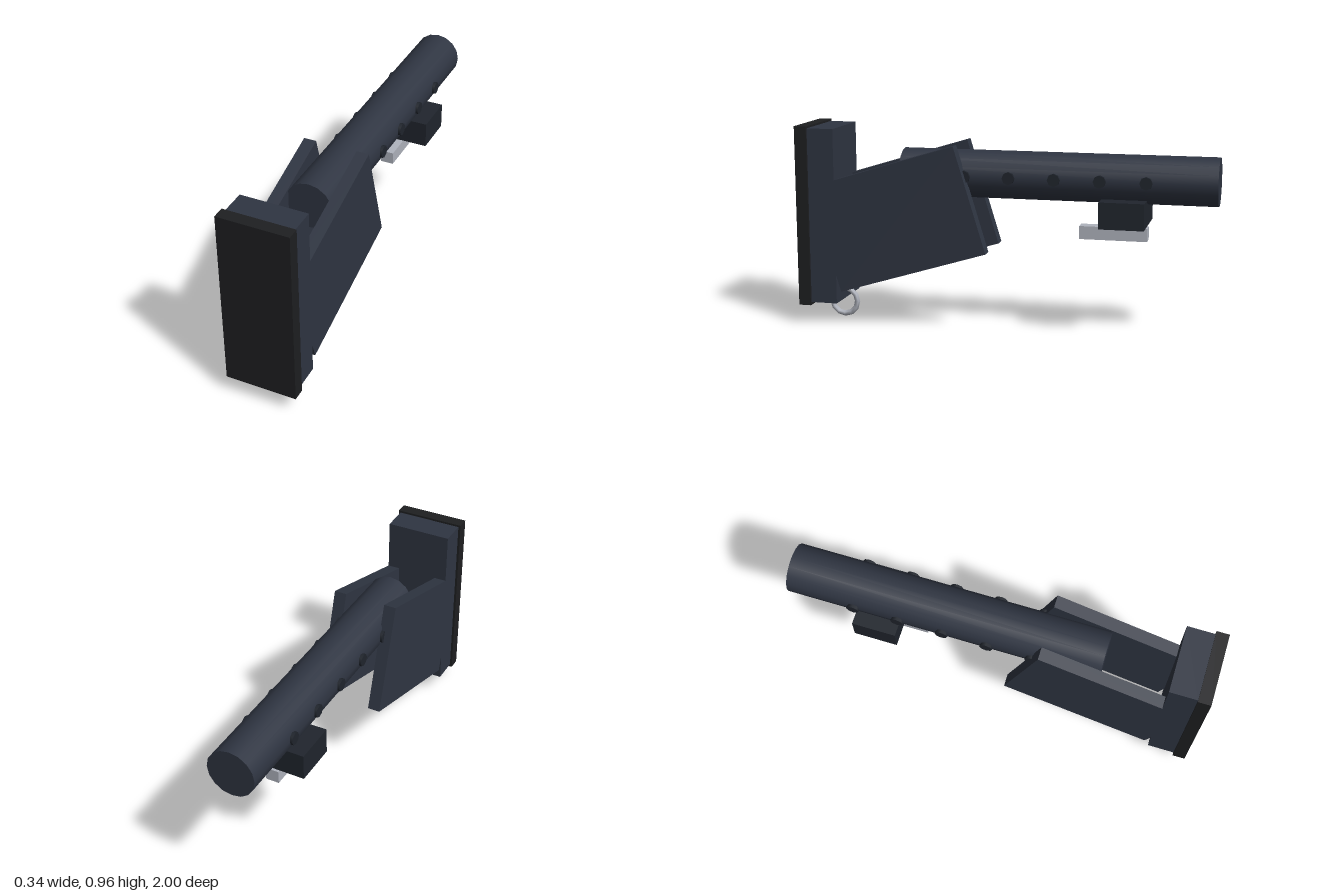
import * as THREE from 'three';

const mat = (color) => new THREE.MeshStandardMaterial({ color });

export function createModel() {
  const model = new THREE.Group();
  model.name = 'padBracket';

  const steel = mat(0x2f3542);
  const rubber = mat(0x1e1f21);
  const darkSteel = mat(0x20252d);
  const chrome = mat(0xb0b4be);

  const add = (name, geometry, material, x, y, z) => {
    const mesh = new THREE.Mesh(geometry, material);
    mesh.name = name;
    mesh.position.set(x, y, z);
    model.add(mesh);
    return mesh;
  };
  const box = (name, material, w, h, d, x, y, z) =>
    add(name, new THREE.BoxGeometry(w, h, d), material, x, y, z);

  // Front pad and the block behind it
  box('pad', rubber, 0.342, 0.874, 0.06, 0, 0.528, 0.97);
  box('backingBlock', steel, 0.32, 0.85, 0.13, 0, 0.53, 0.875);

  // Tilted plates either side of the tube
  for (const side of [-1, 1]) {
    const plate = box(side > 0 ? 'leftPlate' : 'rightPlate', steel,
      0.06, 0.528, 0.753, side * 0.13, 0.528, 0.503);
    plate.rotation.x = 0.297;
  }

  // Main tube
  const tubeY = 0.743;
  const tube = add('tube', new THREE.CylinderGeometry(0.115, 0.115, 1.5, 16), steel, 0, tubeY, -0.25);
  tube.rotation.x = Math.PI / 2;

  // Adjustment pins through the tube
  for (let i = 0; i < 5; i++) {
    const pin = add('pin' + (i + 1), new THREE.CylinderGeometry(0.03, 0.03, 0.25, 8), darkSteel,
      0, tubeY, 0.18 - i * 0.214);
    pin.rotation.z = Math.PI / 2;
  }

  // Clamp and lever under the tube
  box('clampBlock', darkSteel, 0.32, 0.125, 0.21, 0, 0.593, -0.57);
  box('lever', chrome, 0.064, 0.062, 0.32, 0, 0.486, -0.515);

  // Hanging ring
  const ring = add('ring', new THREE.TorusGeometry(0.065, 0.014, 6, 12), chrome, 0, 0.08, 0.827);
  ring.rotation.y = Math.PI / 2;

  return model;
}
